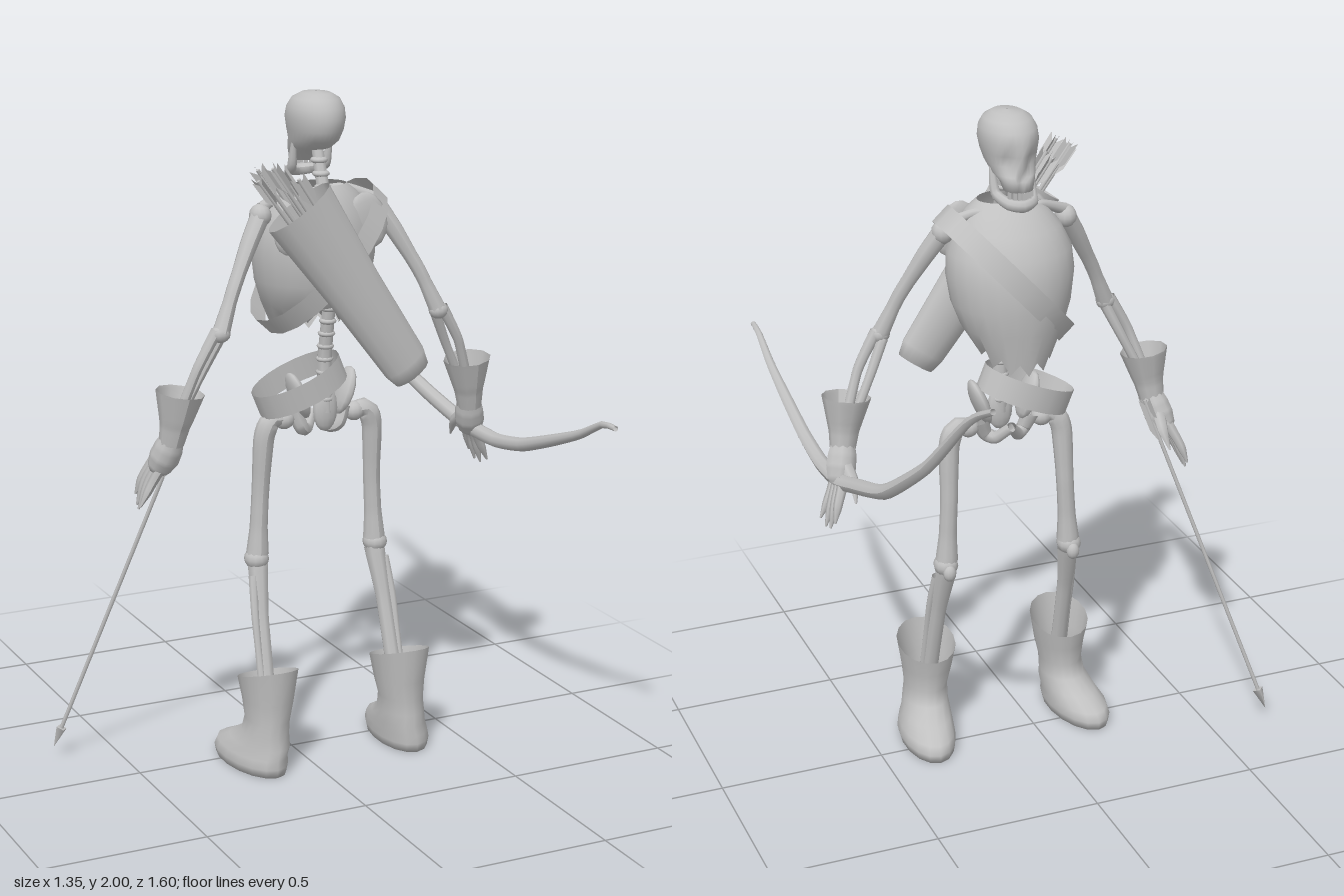
import * as THREE from 'three';

const bone = new THREE.MeshStandardMaterial({ color: 0xc0c0c0, side: THREE.DoubleSide });
bone.name = 'pale grey';
const CX = 0.088; // the body's own mid line
const V = (a) => new THREE.Vector3(...a);

function add(parent, name, geo) {
  const m = new THREE.Mesh(geo, bone);
  m.name = name;
  parent.add(m);
  return m;
}

// Round limb through points, with radii spaced evenly along it
function limb(pts, radii, sides = 8, seg = 20) {
  const path = new THREE.CatmullRomCurve3(pts.map(V), false, 'catmullrom', 0.3);
  const geo = new THREE.TubeGeometry(path, seg, 1, sides);
  const p = geo.attributes.position, v = new THREE.Vector3();
  for (let i = 0; i <= seg; i++) {
    const t = (i / seg) * (radii.length - 1), k = Math.min(Math.floor(t), radii.length - 2);
    const r = THREE.MathUtils.lerp(radii[k], radii[k + 1], t - k);
    const c = path.getPointAt(i / seg);
    for (let j = 0; j <= sides; j++) {
      const n = i * (sides + 1) + j;
      v.fromBufferAttribute(p, n).sub(c).multiplyScalar(r).add(c);
      p.setXYZ(n, v.x, v.y, v.z);
    }
  }
  geo.computeVertexNormals();
  return geo;
}

// Level oval rings [y, x, z, rx, rz], bottom to top; rule moves vertices
function loft(rings, sides, rule) {
  const pos = [], idx = [];
  rings.forEach(([y, x, z, rx, rz], i) => {
    for (let j = 0; j < sides; j++) {
      const a = (j / sides) * Math.PI * 2;
      const v = new THREE.Vector3(x + rx * Math.cos(a), y, z + rz * Math.sin(a));
      if (rule) rule(v, i, j);
      pos.push(v.x, v.y, v.z);
      if (i < rings.length - 1) {
        const b = i * sides + j, c = i * sides + ((j + 1) % sides);
        idx.push(b, b + sides, c, c, b + sides, c + sides);
      }
    }
  });
  const geo = new THREE.BufferGeometry();
  geo.setAttribute('position', new THREE.Float32BufferAttribute(pos, 3));
  geo.setIndex(idx);
  geo.computeVertexNormals();
  return geo;
}

function ball(parent, name, p, sx, sy, sz) {
  const m = add(parent, name, new THREE.SphereGeometry(1, 12, 8).scale(sx, sy, sz));
  m.position.set(...p);
  return m;
}

// Open band round the body
function band(parent, name, p, rx, rz, width, tilt) {
  const m = add(parent, name, new THREE.CylinderGeometry(1, 1, width, 20, 1, true).scale(rx, 1, rz));
  m.position.set(...p);
  m.rotation.z = tilt;
}

// Arrow with its tail at +y and its point at -y
function arrow(length, vane, vaneLength) {
  const g = new THREE.Group();
  g.name = 'arrow';
  const h = length / 2;
  add(g, 'arrowShaft', new THREE.CylinderGeometry(0.006, 0.006, length, 6));
  const s = new THREE.Shape([[0, h - 0.02], [vane, h + 0.01], [vane, h - vaneLength * 0.6], [0, h - vaneLength],
    [-vane, h - vaneLength * 0.6], [-vane, h + 0.01]].map((q) => new THREE.Vector2(...q)));
  for (const a of [0.4, 0.4 + Math.PI / 2]) add(g, 'arrowVane', new THREE.ShapeGeometry(s)).rotation.y = a;
  const head = add(g, 'arrowHead', new THREE.ConeGeometry(0.017, 0.07, 4));
  head.rotation.x = Math.PI;
  head.position.y = -h - 0.02;
  return g;
}

function buildHead(g) {
  // Cranium, with sunken eyes and nose
  const rings = [[1.79, -0.105, 0.02, 0.01], [1.792, -0.105, 0.042, 0.042], [1.82, -0.095, 0.05, 0.052],
    [1.835, -0.065, 0.06, 0.08], [1.86, -0.04, 0.068, 0.1], [1.89, -0.03, 0.076, 0.108], [1.925, -0.028, 0.083, 0.11],
    [1.955, -0.026, 0.08, 0.1], [1.98, -0.024, 0.067, 0.08], [1.995, -0.022, 0.042, 0.052], [2, -0.022, 0.002, 0.002]];
  add(g, 'skull', loft(rings.map(([y, z, rx, rz]) => [y, CX, z, rx, rz]), 32, (v) => {
    if (v.z > -0.06) return;
    const eye = Math.hypot(Math.abs(v.x - CX) - 0.034, (v.y - 1.872) * 0.9);
    const nose = Math.hypot(v.x - CX, (v.y - 1.83) * 0.7);
    v.z += 0.035 * Math.max(0, 1 - eye / 0.028) + 0.02 * Math.max(0, 1 - nose / 0.018);
  }));
  add(g, 'jaw', limb([[CX - 0.058, 1.85, -0.05], [CX - 0.054, 1.775, -0.07], [CX - 0.035, 1.757, -0.125],
    [CX, 1.752, -0.143], [CX + 0.035, 1.757, -0.125], [CX + 0.054, 1.775, -0.07], [CX + 0.058, 1.85, -0.05]],
  [0.008, 0.014, 0.016, 0.018, 0.016, 0.014, 0.008], 8, 28));
  for (let i = -3; i <= 3; i++) {
    const t = add(g, 'tooth', new THREE.BoxGeometry(0.009, 0.02, 0.008));
    t.position.set(CX + i * 0.011, 1.781, -0.143 + i * i * 0.0022);
  }
}

function buildTrunk(g) {
  const spine = [[CX, 1.84, -0.015], [CX, 1.74, 0.02], [CX, 1.6, 0.075], [CX, 1.4, 0.07], [CX, 1.22, 0.04], [CX, 1.06, 0.045]];
  add(g, 'spine', limb(spine, [0.018, 0.02, 0.02, 0.02, 0.022, 0.024]));
  const path = new THREE.CatmullRomCurve3(spine.map(V));
  for (let i = 1; i < 20; i++) ball(g, 'vertebra', path.getPointAt(i / 20).toArray(), 0.026, 0.012, 0.026);

  // Ribcage shell with a torn lower edge, higher at the back
  const rings = [[1.31, -0.07, 0.1, 0.115], [1.38, -0.055, 0.15, 0.145], [1.45, -0.045, 0.175, 0.163], [1.53, -0.04, 0.187, 0.168],
    [1.6, -0.032, 0.182, 0.157], [1.66, -0.02, 0.155, 0.13], [1.71, -0.005, 0.115, 0.092], [1.735, 0.005, 0.08, 0.06]];
  add(g, 'ribcage', loft(rings.map(([y, z, rx, rz]) => [y, CX, z, rx, rz]), 24, (v, i, j) => {
    if (i === 0) v.y += (v.z + 0.07) * 0.35 + (j % 2 ? 0.02 : -0.015);
  }));
  band(g, 'shoulderStrap', [0.1, 1.515, -0.025], 0.265, 0.19, 0.065, 0.83);
  band(g, 'belt', [0.025, 1.14, 0], 0.145, 0.1, 0.075, 0.39);

  // Pelvis
  ball(g, 'sacrum', [CX, 1.07, 0.045], 0.04, 0.07, 0.022);
  for (const s of [-1, 1]) {
    const x = (d) => CX + s * d;
    ball(g, 'hipBlade', [x(0.075), 1.11, 0.015], 0.022, 0.075, 0.055).rotation.z = -s * 0.35;
    add(g, 'pelvisArch', limb([[x(0.08), 1.06, 0], [x(0.06), 1.01, 0.01], [x(0.035), 1.0, -0.01], [x(0), 1.04, -0.045]],
      [0.026, 0.022, 0.018, 0.016]));
  }
}

function buildLeg(g, s) {
  const x = (d) => CX + s * d;
  ball(g, 'hipJoint', [x(0.115), 1.04, 0.005], 0.032, 0.03, 0.03);
  add(g, 'thighBone', limb([[x(0.1), 1.04, 0.005], [x(0.155), 1.045, 0.005], [x(0.178), 0.99, 0], [x(0.185), 0.82, -0.012], [x(0.195), 0.63, -0.012]],
    [0.022, 0.032, 0.03, 0.027, 0.026, 0.027, 0.034], 10, 28));
  ball(g, 'knee', [x(0.198), 0.615, -0.012], 0.037, 0.034, 0.04);
  ball(g, 'kneecap', [x(0.198), 0.6, -0.045], 0.02, 0.026, 0.018);
  add(g, 'shinBone', limb([[x(0.195), 0.6, -0.01], [x(0.205), 0.45, 0.035], [x(0.215), 0.15, 0.12]], [0.033, 0.024, 0.024, 0.026]));
  add(g, 'calfBone', limb([[x(0.22), 0.57, 0.01], [x(0.23), 0.44, 0.05], [x(0.232), 0.15, 0.125]], [0.014, 0.011, 0.014]));

  // Boot: sole, instep, ankle and slanted open top
  const rings = [[0, 0.05, 0.005, 0.005, 0.245], [0, 0.05, 0.078, 0.162, 0.245], [0.025, 0.05, 0.084, 0.165, 0.245], [0.05, 0.055, 0.08, 0.157, 0.243],
    [0.08, 0.085, 0.074, 0.125, 0.235], [0.115, 0.112, 0.067, 0.092, 0.228], [0.16, 0.118, 0.064, 0.085, 0.224],
    [0.22, 0.115, 0.075, 0.09, 0.22], [0.3, 0.115, 0.089, 0.1, 0.22]];
  add(g, 'boot', loft(rings.map(([y, z, rx, rz, d]) => [y, x(d), z, rx, rz]), 16, (v, i) => {
    if (i < 5) v.x += s * (0.08 - v.z) * 0.08;
    if (i === 8) v.y += (v.z - 0.115) * 0.3;
  }));
}

function buildArm(g, s) {
  const x = (d) => CX + s * d;
  add(g, 'collarbone', limb([[x(0.02), 1.7, -0.06], [x(0.1), 1.71, -0.03], [x(0.185), 1.675, 0]], [0.014, 0.013, 0.018]));
  ball(g, 'shoulderBlade', [x(0.12), 1.63, 0.08], 0.06, 0.085, 0.018).rotation.z = s * 0.3;
  ball(g, 'shoulder', [x(0.188), 1.655, 0], 0.032, 0.034, 0.036);
  add(g, 'upperArm', limb([[x(0.185), 1.66, 0], [x(0.235), 1.58, 0.025], [x(0.3), 1.46, 0.06], [x(0.352), 1.34, 0.085]],
    [0.03, 0.027, 0.022, 0.021, 0.027]));
  ball(g, 'elbow', [x(0.353), 1.34, 0.085], 0.03, 0.026, 0.027);
  add(g, 'outerForearm', limb([[x(0.365), 1.35, 0.085], [x(0.425), 1.24, 0.08], [x(0.48), 1.08, 0.05]], [0.018, 0.015, 0.016]));
  add(g, 'innerForearm', limb([[x(0.348), 1.33, 0.075], [x(0.395), 1.23, 0.055], [x(0.468), 1.08, 0.035]], [0.017, 0.014, 0.014]));

  // Glove with an open cuff, four fingers and a thumb
  add(g, 'gloveCuff', limb([[x(0.468), 1.175, 0.058], [x(0.478), 1.1, 0.052], [x(0.49), 1.02, 0.04]], [0.072, 0.058, 0.044, 0.037], 10));
  add(g, 'glovePalm', limb([[x(0.486), 1.04, 0.043], [x(0.502), 0.98, 0.02], [x(0.525), 0.91, -0.012]], [0.034, 0.043, 0.045, 0.036, 0.004], 10));
  [[0.03, 0.005, 0.83], [0.01, -0.025, 0.815], [-0.012, -0.052, 0.82], [-0.034, -0.078, 0.845]].forEach(([z0, z1, y1], i) => {
    add(g, 'finger', limb([[x(0.512), 0.96, z0], [x(0.54), 0.9, (z0 + z1) / 2 - 0.005], [x(0.575 - i * 0.006), y1, z1]],
      [0.017, 0.015, 0.013, 0.003], 6, 10));
  });
  add(g, 'thumb', limb([[x(0.495), 0.99, 0], [x(0.488), 0.95, -0.05], [x(0.495), 0.9, -0.085]], [0.02, 0.016, 0.003], 6, 10));
}

function buildQuiver(g) {
  const q = new THREE.Group();
  q.name = 'quiver';
  add(q, 'quiverCase', loft([[-0.316, 0, 0.01, 0.002, 0.002], [-0.314, 0, 0.01, 0.06, 0.036], [-0.27, 0, 0.01, 0.072, 0.042],
    [0, 0, 0, 0.086, 0.048], [0.316, 0, -0.005, 0.112, 0.055]], 14));
  [[-0.06, 0.46, 0], [-0.035, 0.475, -0.03], [-0.005, 0.465, 0.01], [0.025, 0.42, -0.04], [0.045, 0.385, 0], [0, 0.41, -0.045]].forEach(([x, top, z], i) => {
    const a = arrow(0.5, 0.022, 0.1);
    a.position.set(x * 0.8, top - 0.25, z * 0.8);
    a.rotation.set(z * 0.5, i, -x * 0.6, 'ZXY');
    q.add(a);
  });
  q.position.set(0.12, 1.445, 0.18);
  q.rotation.z = 0.606;
  g.add(q);
}

export function createModel() {
  const g = new THREE.Group();
  g.name = 'skeletonArcher';
  buildHead(g);
  buildTrunk(g);
  for (const s of [-1, 1]) {
    buildLeg(g, s);
    buildArm(g, s);
  }
  buildQuiver(g);

  // Bow carried level in one hand
  add(g, 'bow', limb([[0.615, 1.135, 0.8], [0.618, 1.13, 0.73], [0.618, 1.07, 0.61], [0.615, 1.01, 0.45], [0.612, 0.96, 0.3],
    [0.61, 0.935, 0.15], [0.605, 0.94, 0], [0.59, 0.965, -0.1], [0.565, 1.03, -0.3], [0.515, 1.18, -0.5], [0.465, 1.36, -0.66],
    [0.448, 1.41, -0.72], [0.435, 1.45, -0.795]], [0.008, 0.013, 0.018, 0.021, 0.023, 0.024, 0.023, 0.021, 0.018, 0.014, 0.009], 8, 48));

  // Arrow held point down in the other hand
  const tip = V([-0.67, 0.08, -0.22]), tail = V([-0.365, 1.03, 0.01]);
  const a = arrow(tip.distanceTo(tail), 0.024, 0.15);
  a.position.copy(tip).add(tail).multiplyScalar(0.5);
  a.quaternion.setFromUnitVectors(new THREE.Vector3(0, 1, 0), tail.sub(tip).normalize());
  g.add(a);
  return g;
}
